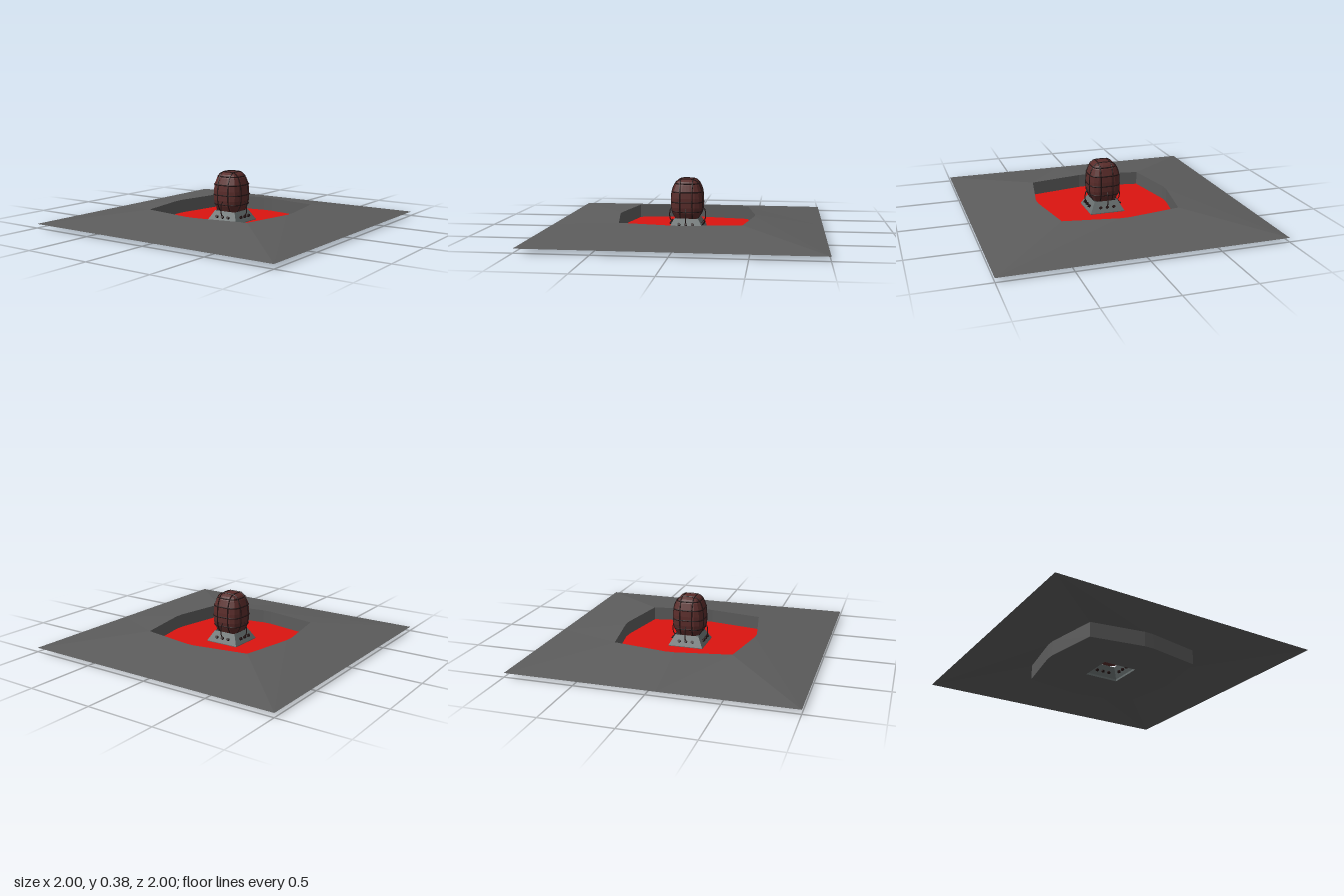
import * as THREE from 'three';

const mat = (color) => new THREE.MeshStandardMaterial({ color, flatShading: true, side: THREE.DoubleSide });
const GROUND = mat(0x5c5c5c), RED = mat(0xdc1410), METAL = mat(0x687070), SHELL = mat(0x5a2c2a), DARK = mat(0x241414);

// Closed loop with four corners and two points near the middle of each side
function loop(half, corner, mid, y) {
  const pts = [];
  for (let k = 0; k < 4; k++) {
    for (let [x, z] of [[-corner, corner], [-mid, half], [mid, half]]) {
      for (let i = 0; i < k; i++) [x, z] = [z, -x];
      pts.push([x, y, z]);
    }
  }
  return pts;
}

// Skin a series of equal-length loops
function skin(loops) {
  const n = loops[0].length, index = [];
  for (let j = 0; j < loops.length - 1; j++) {
    for (let i = 0; i < n; i++) {
      const a = j * n + i, b = j * n + (i + 1) % n;
      index.push(a, b, b + n, a, b + n, a + n);
    }
  }
  const g = new THREE.BufferGeometry();
  g.setAttribute('position', new THREE.Float32BufferAttribute(loops.flat(2), 3));
  g.setIndex(index);
  g.computeVertexNormals();
  return g;
}

// Rounded-square pod: height and half-width pairs
const POWER = 3.4;
const PROFILE = [[0.075, 0.06], [0.09, 0.086], [0.13, 0.107], [0.17, 0.115], [0.24, 0.115],
  [0.29, 0.11], [0.335, 0.094], [0.36, 0.077], [0.373, 0.058]];

function podLoop(r, y, n = 24) {
  return Array.from({ length: n }, (_, i) => {
    const t = (i / n) * Math.PI * 2, s = Math.sin(t), c = Math.cos(t);
    const k = r / Math.pow(Math.abs(s) ** POWER + Math.abs(c) ** POWER, 1 / POWER);
    return [s * k, y, c * k];
  });
}

function radiusAt(y) {
  const i = Math.max(1, PROFILE.findIndex(([py]) => py >= y));
  const [y0, r0] = PROFILE[i - 1], [y1, r1] = PROFILE[i];
  return r0 + (r1 - r0) * (y - y0) / (y1 - y0);
}

function tube(points, radius, closed = false) {
  const curve = new THREE.CatmullRomCurve3(points.map((p) => new THREE.Vector3(...p)), closed, 'centripetal');
  return new THREE.TubeGeometry(curve, points.length * 3, radius, 5, closed);
}

export function createModel() {
  const group = new THREE.Group();
  const add = (name, geometry, material, parent = group) => {
    const mesh = new THREE.Mesh(geometry, material);
    mesh.name = name;
    parent.add(mesh);
    return mesh;
  };

  // Sloping ground with a sunken pit
  const rim = (y) => loop(0.5, 0.43, 0.035, y);
  const hole = (y) => loop(0.13, 0.13, 0.035, y);
  add('ground', skin([loop(1, 1, 0.07, 0.03), rim(0.11)]), GROUND);
  add('pitWall', skin([rim(0.11), rim(0)]), GROUND);
  add('pitUnderside', skin([rim(0), hole(0)]), GROUND);
  add('pitFloor', skin([rim(0.01), hole(0.01)]), RED);

  // Hollow tapered pedestal
  add('pedestal', skin([hole(0), hole(0.015), loop(0.088, 0.088, 0.03, 0.09)]), METAL);

  // Pod body with closed ends
  const top = PROFILE[PROFILE.length - 1];
  const body = PROFILE.map(([y, r]) => podLoop(r, y));
  add('pod', skin([podLoop(0, 0.075), ...body, podLoop(0.03, top[0] + 0.003), podLoop(0, top[0] + 0.004)]), SHELL);

  // Cage bars over the pod: hoops in both directions and level rings
  const cage = new THREE.Group();
  cage.name = 'cage';
  group.add(cage);
  for (const offset of [-0.045, 0.045]) {
    const side = PROFILE.slice(1).map(([y, r]) =>
      [offset, y, r * Math.pow(1 - (Math.abs(offset) / r) ** POWER, 1 / POWER)]);
    const path = [...side, [offset, 0.376, 0], ...side.map(([x, y, z]) => [x, y, -z]).reverse()];
    const hoop = tube(path, 0.005);
    add('cageHoop', hoop, DARK, cage);
    add('cageHoop', hoop, DARK, cage).rotation.y = Math.PI / 2;
  }
  for (const y of [0.14, 0.21, 0.285, 0.345]) {
    add('cageRing', tube(podLoop(radiusAt(y), y), 0.005, true), DARK, cage);
  }

  // Cable and bolts on each face of the pedestal
  for (let k = 0; k < 4; k++) {
    const face = new THREE.Group();
    face.name = 'pedestalFittings';
    face.rotation.y = k * Math.PI / 2;
    add('cable', tube([[0, 0.05, 0.108], [0, 0.075, 0.13], [0, 0.12, 0.134], [0, 0.152, 0.126], [0, 0.165, 0.11]], 0.004), DARK, face);
    for (const x of [-0.05, 0, 0.05]) {
      const bolt = add('bolt', new THREE.CylinderGeometry(0.011, 0.011, 0.03, 8), DARK, face);
      bolt.position.set(x, 0.048, 0.112);
      bolt.rotation.x = Math.PI / 2 - 0.5;
    }
    group.add(face);
  }
  return group;
}
